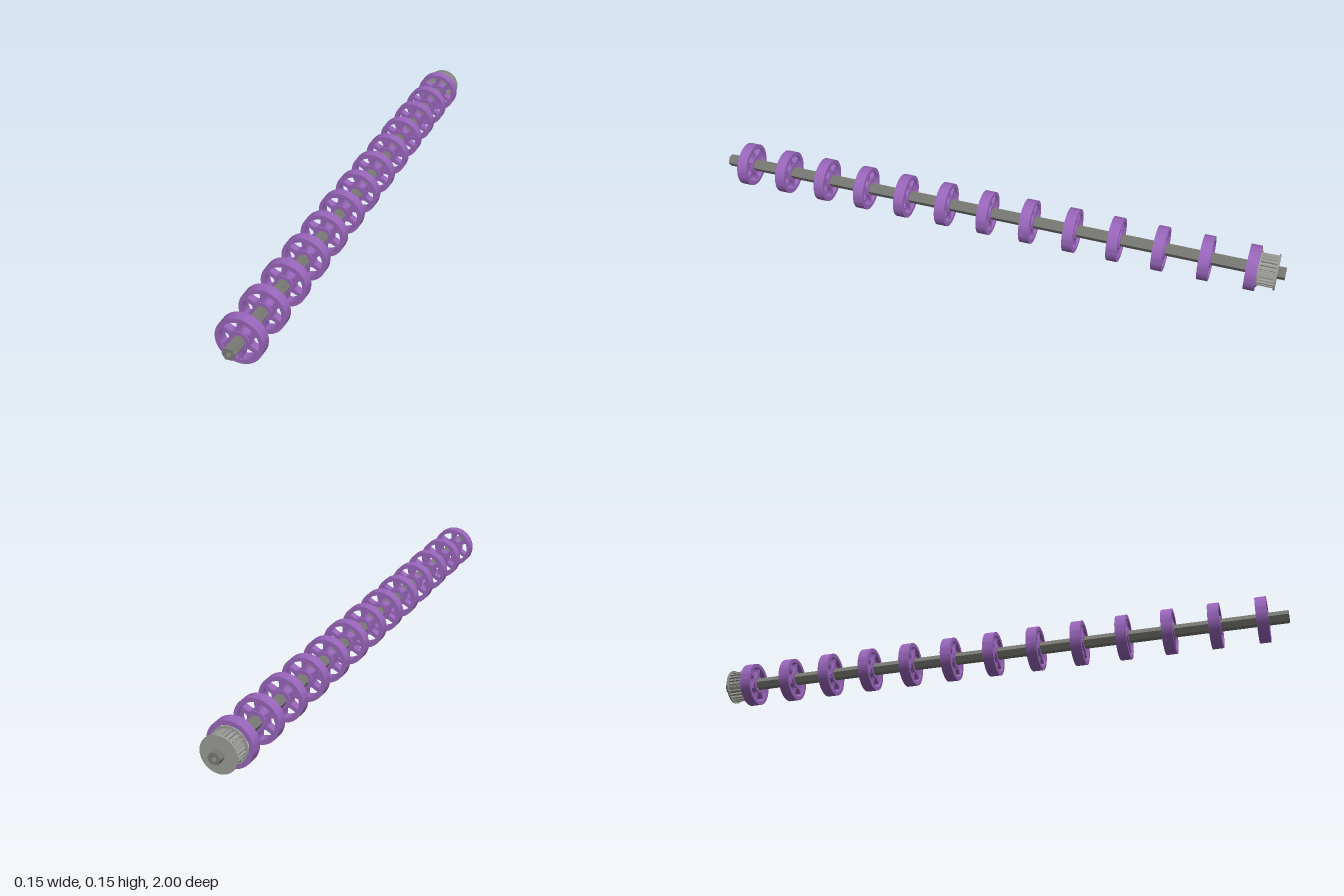
import * as THREE from 'three';
import { toCreasedNormals } from 'three/addons/utils/BufferGeometryUtils.js';

const AXIS_Y = 0.075;
const purple = new THREE.MeshStandardMaterial({ color: 0x9966bb });
const darkGrey = new THREE.MeshStandardMaterial({ color: 0x7a7a75 });
const lightGrey = new THREE.MeshStandardMaterial({ color: 0x9c9c98 });

const polar = (r, a) => new THREE.Vector2(r * Math.cos(a), r * Math.sin(a));
const disc = (r) => new THREE.Shape().absarc(0, 0, r, 0, Math.PI * 2);
const hexPoints = (r) => Array.from({ length: 6 }, (_, i) => polar(r, i * Math.PI / 3));

// Extrudes a shape along z, centred on z = 0, with smooth curves and sharp edges
function plate(shape, holes, depth, segments = 24) {
  shape.holes.push(...holes);
  const g = new THREE.ExtrudeGeometry(shape, { depth, bevelEnabled: false, curveSegments: segments });
  g.translate(0, 0, -depth / 2);
  return toCreasedNormals(g, 0.5);
}

function addMesh(parent, name, geometry, material, z = 0) {
  const mesh = new THREE.Mesh(geometry, material);
  mesh.name = name;
  mesh.position.z = z;
  parent.add(mesh);
}

// Rounded window between two spokes, centred on angle a
function windowHole(a, inner, outer, halfSpoke) {
  const edge = (r) => Math.PI / 6 - Math.asin(halfSpoke / r);
  const round = 0.006;
  const corners = [];
  const path = [];
  for (let i = 0; i <= 8; i++) path.push(polar(outer, a + (i / 4 - 1) * (edge(outer) - round / outer)));
  corners.push(polar(outer, a + edge(outer)), polar(inner, a + edge(inner)),
    polar(inner, a - edge(inner)), polar(outer, a - edge(outer)));
  const toward = (p, q) => p.clone().add(q.clone().sub(p).setLength(round));
  const hole = new THREE.Path();
  hole.moveTo(path[0].x, path[0].y);
  path.slice(1).forEach((p) => hole.lineTo(p.x, p.y));
  const bend = (c, p) => hole.quadraticCurveTo(c.x, c.y, p.x, p.y);
  const [c0, c1, c2, c3] = corners;
  bend(c0, toward(c0, c1));
  const p1 = toward(c1, c0), p2 = toward(c2, c3), p3 = toward(c3, c2);
  hole.lineTo(p1.x, p1.y);
  bend(c1, toward(c1, c2));
  const q2 = toward(c2, c1);
  hole.lineTo(q2.x, q2.y);
  bend(c2, p2);
  hole.lineTo(p3.x, p3.y);
  bend(c3, path[0]);
  return hole;
}

// Toothed outline of the pulley
function gearShape(teeth, root, tip) {
  const points = [];
  for (let i = 0; i < teeth; i++) {
    [[0, root], [0.38, root], [0.48, tip], [0.9, tip]].forEach(([t, r]) =>
      points.push(polar(r, (i + t) / teeth * Math.PI * 2)));
  }
  return new THREE.Shape(points);
}

export function createModel() {
  const model = new THREE.Group();
  model.name = 'rollerShaft';
  const assembly = new THREE.Group();
  assembly.name = 'assembly';
  assembly.position.y = AXIS_Y;
  model.add(assembly);

  // Hollow hexagonal shaft
  const bore = new THREE.Path().absarc(0, 0, 0.0085, 0, Math.PI * 2);
  addMesh(assembly, 'hexShaft', plate(new THREE.Shape(hexPoints(0.021)), [bore], 2, 12), darkGrey);

  // Spoked wheels
  const hexHole = () => new THREE.Path(hexPoints(0.021));
  const windows = Array.from({ length: 6 }, (_, i) => windowHole(i * Math.PI / 3, 0.034, 0.061, 0.007));
  const rimHole = new THREE.Path().absarc(0, 0, 0.061, 0, Math.PI * 2);
  const rim = plate(disc(0.075), [rimHole], 0.036, 32);
  const web = plate(disc(0.063), [hexHole(), ...windows], 0.026, 24);
  const hub = plate(disc(0.031), [hexHole()], 0.036, 20);
  for (let i = 0; i < 13; i++) {
    const wheel = new THREE.Group();
    wheel.name = 'wheel' + (i + 1);
    wheel.position.z = 0.917 - i * 0.151;
    addMesh(wheel, 'rim', rim, purple);
    addMesh(wheel, 'spokes', web, purple);
    addMesh(wheel, 'hub', hub, purple);
    assembly.add(wheel);
  }

  // Toothed drive pulley between two flanges at the back end
  const pulley = new THREE.Group();
  pulley.name = 'pulley';
  pulley.position.z = -0.944;
  addMesh(pulley, 'teeth', plate(gearShape(24, 0.047, 0.054), [hexHole()], 0.058), lightGrey);
  const flange = plate(disc(0.06), [hexHole()], 0.005, 32);
  addMesh(pulley, 'frontFlange', flange, lightGrey, 0.0285);
  addMesh(pulley, 'backFlange', flange, lightGrey, -0.0285);
  assembly.add(pulley);

  return model;
}
